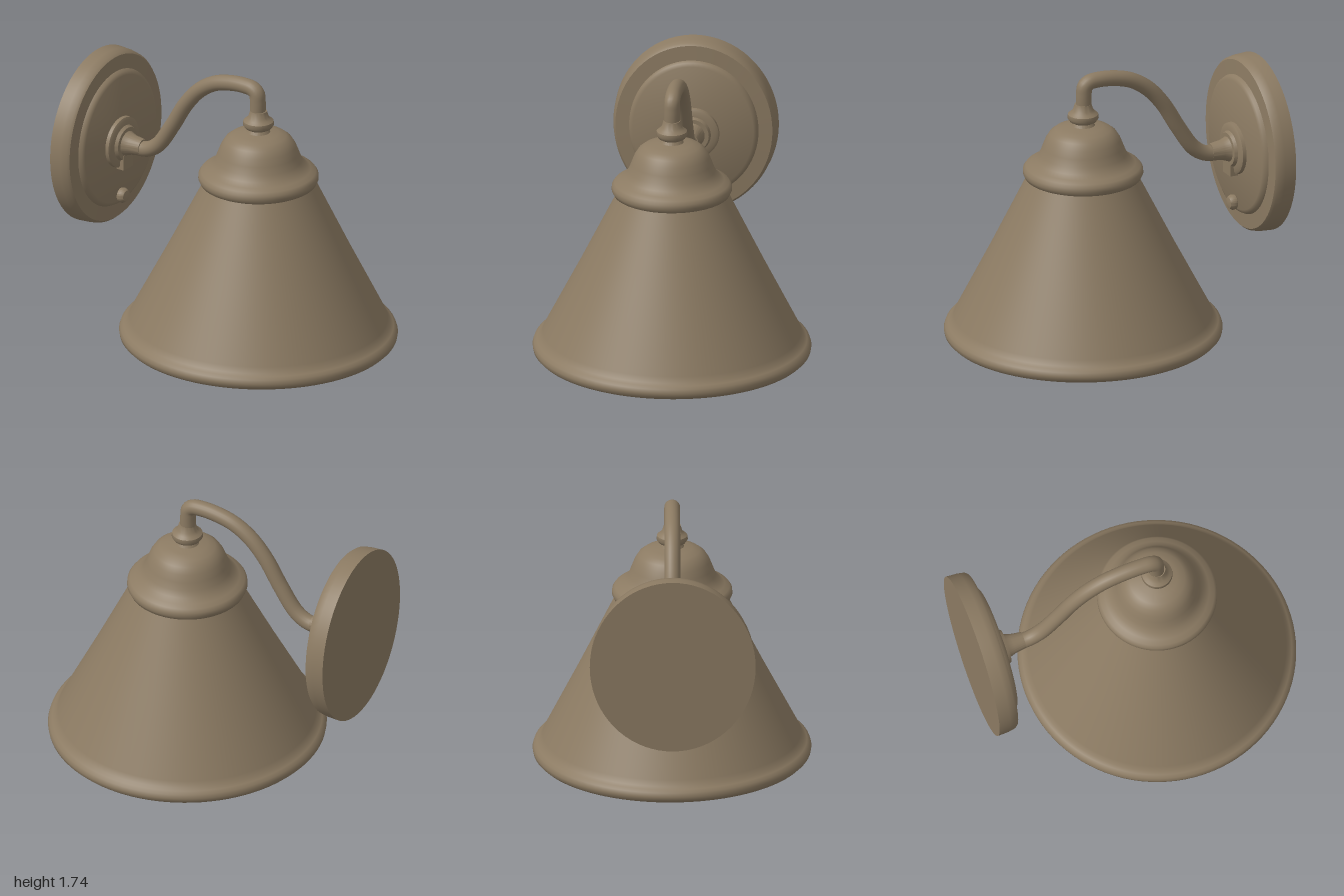
import * as THREE from 'three';
import { toCreasedNormals } from 'three/addons/utils/BufferGeometryUtils.js';

const AXIS_X = 0.165; // vertical axis of the shade
const PLATE_Y = 1.13; // height of the wall plate centre

export function createModel() {
  const group = new THREE.Group();
  const bronze = new THREE.MeshStandardMaterial({ color: 0x8b7a62 });
  bronze.name = 'bronze';

  function add(name, geometry, x = 0, y = 0, z = 0) {
    const mesh = new THREE.Mesh(geometry, bronze);
    mesh.name = name;
    mesh.position.set(x, y, z);
    group.add(mesh);
    return mesh;
  }

  // Turned part from [radius, height] pairs, solid side on the right of the path
  function turned(profile, segments = 72) {
    const points = profile.map(([r, y]) => new THREE.Vector2(r, y));
    return toCreasedNormals(new THREE.LatheGeometry(points, segments), 0.75);
  }

  // Turned part whose axis points along +x, away from the wall
  const turnedSideways = (profile) => turned(profile).rotateZ(-Math.PI / 2);

  // Conical shade with inner wall and rolled rim
  const shade = add('shade', turned([
    [0, 1.09], [0.3, 1.09], [0.755, 0.185], [0.752, 0.15], [0.765, 0.12],
    [0.785, 0.107], [0.805, 0.108], [0.822, 0.125], [0.826, 0.148], [0.818, 0.172],
    [0.8, 0.187], [0.782, 0.2], [0.765, 0.235], [0.55, 0.655], [0.325, 1.11],
  ], 96), AXIS_X);
  shade.rotation.set(-0.006, 0, -0.009);
  shade.position.x -= 0.002;

  // Bell-shaped cap on top of the shade
  add('cap', turned([
    [0, 1.09], [0.325, 1.095], [0.345, 1.105], [0.357, 1.13], [0.355, 1.155],
    [0.34, 1.175], [0.31, 1.19], [0.28, 1.215], [0.257, 1.25], [0.24, 1.295],
    [0.222, 1.34], [0.198, 1.378], [0.165, 1.403], [0.12, 1.418], [0.07, 1.427],
    [0.06, 1.445], [0, 1.445],
  ]), AXIS_X);

  // Neck collar between cap and arm
  add('collar', turned([
    [0, 1.41], [0.058, 1.42], [0.058, 1.443], [0.08, 1.455], [0.093, 1.475],
    [0.09, 1.497], [0.074, 1.51], [0.06, 1.525], [0.05, 1.56], [0, 1.56],
  ], 40), AXIS_X);

  // Gooseneck arm from the wall plate to the collar
  const path = new THREE.CatmullRomCurve3([
    [-0.82, 1.115], [-0.7, 1.104], [-0.63, 1.117], [-0.56, 1.165], [-0.46, 1.31],
    [-0.36, 1.475], [-0.26, 1.588], [-0.15, 1.658], [-0.03, 1.69], [0.07, 1.697],
    [0.125, 1.69], [0.153, 1.668], [0.16, 1.62], [0.16, 1.51],
  ].map(([x, y]) => new THREE.Vector3(x, y, 0)));
  add('arm', new THREE.TubeGeometry(path, 110, 0.047, 20));

  // Flared foot of the arm
  add('armFoot', turnedSideways([
    [0, 0], [0.09, 0], [0.072, 0.025], [0.06, 0.06], [0.05, 0.13], [0, 0.13],
  ]), -0.805, 1.113);

  // Boss in the middle of the wall plate
  add('boss', turnedSideways([
    [0, 0], [0.158, 0], [0.155, 0.035], [0.14, 0.043], [0.11, 0.046],
    [0.1, 0.065], [0, 0.065],
  ]), -0.85, 1.112);
  add('bossTab', new THREE.BoxGeometry(0.05, 0.09, 0.1), -0.807, 1.0);

  // Oval wall plate with a raised centre step
  const plate = add('wallPlate', turnedSideways([
    [0, 0], [0.54, 0], [0.536, 0.07], [0.528, 0.11], [0.515, 0.125],
    [0.425, 0.13], [0.415, 0.15], [0.395, 0.16], [0, 0.165],
  ]), -1, PLATE_Y);
  plate.scale.z = 0.91;

  // Small switch knob below the boss
  add('knob', turnedSideways([
    [0, 0], [0.025, 0], [0.025, 0.025], [0.044, 0.04], [0.046, 0.06],
    [0.034, 0.08], [0, 0.088],
  ]), -0.875, 0.77);

  // Light bulb and its socket inside the shade
  add('bulb', turned([
    [0, 0.002], [0.06, 0.009], [0.115, 0.033], [0.16, 0.07], [0.187, 0.12],
    [0.195, 0.18], [0.19, 0.25], [0.175, 0.34], [0.155, 0.44], [0.137, 0.54],
    [0.125, 0.64], [0, 0.64],
  ], 48), AXIS_X - 0.01);
  add('socket', turned([
    [0, 0.62], [0.14, 0.62], [0.14, 1.1], [0, 1.1],
  ], 40), AXIS_X - 0.005);

  return group;
}
